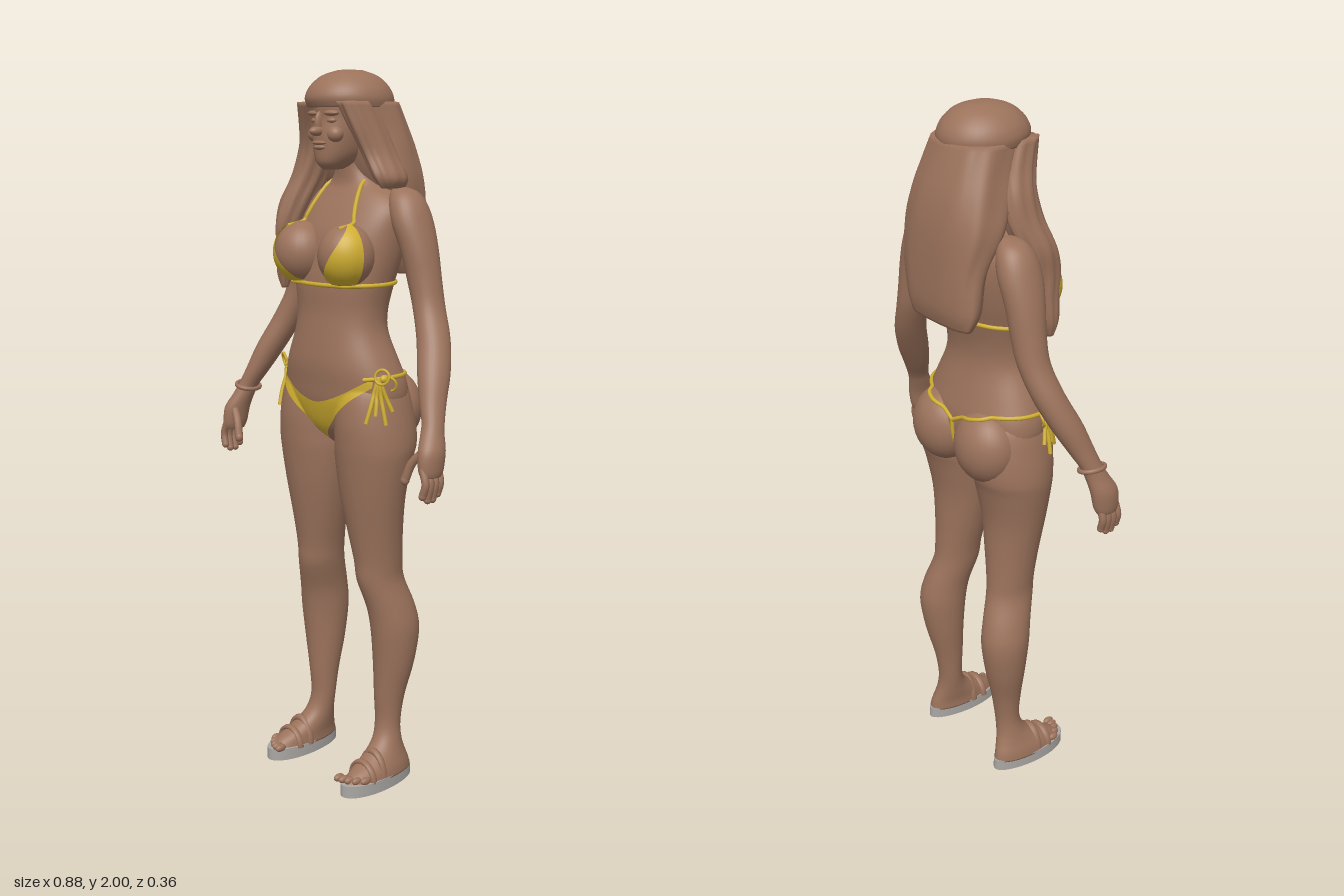
import * as THREE from 'three';

const mat = (name, color, side = THREE.FrontSide) => {
  const m = new THREE.MeshStandardMaterial({ color, side });
  m.name = name;
  return m;
};

// Smooth closed body through horizontal sections [y, centreX, halfWidth, zFront, zBack], bottom to top
function loft(rows, { side = 1, power = 2, ripple = 0, seg = 32, sub = 4 } = {}) {
  const pos = [], idx = [], last = rows.length - 1, steps = last * sub;
  const spline = (k, t) => {
    const i = Math.min(Math.floor(t), last - 1), f = t - i;
    const p = [i - 1, i, i + 1, i + 2].map(n => rows[Math.max(0, Math.min(last, n))][k]);
    return p[1] + 0.5 * f * (p[2] - p[0] + f * (2 * p[0] - 5 * p[1] + 4 * p[2] - p[3] + f * (3 * (p[1] - p[2]) + p[3] - p[0])));
  };
  const rnd = v => Math.sign(v) * Math.abs(v) ** (2 / power);
  for (let i = 0; i <= steps; i++) {
    const [y, cx, rx, zf, zb] = [0, 1, 2, 3, 4].map(k => spline(k, i / sub));
    for (let j = 0; j < seg; j++) {
      const a = j / seg * Math.PI * 2, w = 1 + ripple * Math.cos(9 * a + y * 14);
      pos.push(side * cx + rx * w * rnd(Math.cos(a)), y, (zf + zb) / 2 + (zf - zb) / 2 * w * rnd(Math.sin(a)));
    }
  }
  for (let i = 0; i < steps; i++) for (let j = 0; j < seg; j++) {
    const a = i * seg + j, c = i * seg + (j + 1) % seg;
    idx.push(a, a + seg, c, c, a + seg, c + seg);
  }
  // end caps
  for (const [r, base, top] of [[rows[0], 0, false], [rows[last], steps * seg, true]]) {
    const n = pos.length / 3;
    pos.push(side * r[1], r[0] + (top ? 0.002 : 0), (r[3] + r[4]) / 2);
    for (let j = 0; j < seg; j++) {
      const a = base + j, c = base + (j + 1) % seg;
      top ? idx.push(a, n, c) : idx.push(a, c, n);
    }
  }
  return surface(pos, idx);
}

function surface(pos, idx) {
  const g = new THREE.BufferGeometry();
  g.setAttribute('position', new THREE.Float32BufferAttribute(pos, 3));
  g.setIndex(idx);
  g.computeVertexNormals();
  return g;
}

// Open sheet from a rule (u, v) -> [x, y, z]
function sheet(nu, nv, fn) {
  const pos = [], idx = [];
  for (let i = 0; i <= nu; i++) for (let j = 0; j <= nv; j++) pos.push(...fn(i / nu, j / nv));
  for (let i = 0; i < nu; i++) for (let j = 0; j < nv; j++) {
    const a = i * (nv + 1) + j, b = a + nv + 1;
    idx.push(a, b, a + 1, a + 1, b, b + 1);
  }
  return surface(pos, idx);
}

const ball = (x, y, z, rx, ry, rz) => new THREE.SphereGeometry(1, 28, 20).scale(rx, ry, rz).translate(x, y, z);
const tube = (pts, r, n = 40) => new THREE.TubeGeometry(
  new THREE.CatmullRomCurve3(pts.map(p => p.isVector3 ? p : new THREE.Vector3(...p))), n, r, 8, false);

export function createModel() {
  const group = new THREE.Group();
  const skin = mat('brown', 0x9c735c);
  const yellow = mat('yellow', 0xcfad30, THREE.DoubleSide);
  const grey = mat('soleGrey', 0xaaa7a4);
  const add = (name, geo, m = skin) => {
    const mesh = new THREE.Mesh(geo, m);
    mesh.name = name;
    group.add(mesh);
    return mesh;
  };
  const body = [];

  // Torso and neck
  body.push(add('torso', loft([
    [0.985, 0, 0.03, 0.06, -0.05], [1.03, 0, 0.11, 0.105, -0.08], [1.1, 0, 0.195, 0.13, -0.1],
    [1.16, 0, 0.206, 0.138, -0.1], [1.22, 0, 0.185, 0.143, -0.085], [1.3, 0, 0.15, 0.136, -0.065],
    [1.36, 0, 0.145, 0.13, -0.065], [1.43, 0, 0.158, 0.13, -0.08], [1.5, 0, 0.172, 0.12, -0.098],
    [1.57, 0, 0.18, 0.105, -0.11], [1.63, 0, 0.18, 0.075, -0.108], [1.67, 0, 0.15, 0.05, -0.098],
    [1.7, 0, 0.09, 0.035, -0.082], [1.74, 0, 0.056, 0.035, -0.07], [1.8, 0, 0.052, 0.04, -0.065],
  ], { power: 2.2, seg: 48 })));

  // Head, nose, lips, brows and cheeks
  add('head', loft([
    [1.738, 0, 0.022, 0.095, 0.04], [1.755, 0, 0.04, 0.112, 0], [1.785, 0, 0.058, 0.117, -0.05],
    [1.83, 0, 0.069, 0.118, -0.08], [1.87, 0, 0.074, 0.112, -0.09], [1.92, 0, 0.074, 0.112, -0.09], [1.96, 0, 0.05, 0.08, -0.06],
  ], { power: 2.3 }));
  add('nose', ball(0, 1.838, 0.122, 0.014, 0.013, 0.025));
  add('noseBridge', ball(0, 1.86, 0.113, 0.009, 0.03, 0.016));
  add('upperLip', ball(0, 1.808, 0.115, 0.026, 0.006, 0.011));
  add('lowerLip', ball(0, 1.796, 0.114, 0.022, 0.007, 0.011));
  for (const s of [1, -1]) {
    add('brow', ball(s * 0.032, 1.885, 0.1, 0.026, 0.008, 0.016));
    add('eyelid', ball(s * 0.031, 1.866, 0.098, 0.016, 0.008, 0.012));
    add('cheek', ball(s * 0.038, 1.83, 0.092, 0.024, 0.022, 0.022));
  }

  // Hair
  add('hairCrown', loft([
    [1.9, 0, 0.112, 0.122, -0.118], [1.925, 0, 0.115, 0.131, -0.12], [1.955, 0, 0.102, 0.118, -0.106],
    [1.983, 0, 0.072, 0.085, -0.075], [1.998, 0, 0.03, 0.04, -0.035],
  ], { seg: 40 }));
  add('backHair', loft([
    [1.45, -0.01, 0.12, -0.115, -0.168], [1.5, -0.01, 0.138, -0.09, -0.18], [1.6, 0, 0.148, -0.065, -0.18],
    [1.7, 0, 0.158, 0, -0.175], [1.78, 0, 0.145, 0.03, -0.162], [1.85, 0, 0.128, 0.045, -0.14], [1.915, 0, 0.113, 0.07, -0.117],
  ], { power: 2.6, ripple: 0.015, seg: 72 }));
  add('leftLock', loft([
    [1.69, 0.155, 0.015, 0.03, -0.05], [1.72, 0.15, 0.032, 0.05, -0.06], [1.78, 0.118, 0.034, 0.06, -0.05],
    [1.85, 0.098, 0.032, 0.09, -0.03], [1.915, 0.078, 0.034, 0.115, 0],
  ], { ripple: 0.06 }));
  add('rightLock', loft([
    [1.405, -0.19, 0.006, 0.09, 0.07], [1.45, -0.188, 0.018, 0.105, 0.05], [1.52, -0.172, 0.03, 0.115, 0.03],
    [1.58, -0.165, 0.034, 0.125, 0.02], [1.65, -0.155, 0.044, 0.11, 0], [1.72, -0.135, 0.04, 0.085, -0.03],
    [1.79, -0.118, 0.038, 0.075, -0.04], [1.85, -0.1, 0.032, 0.09, -0.03], [1.915, -0.078, 0.034, 0.115, 0],
  ], { ripple: 0.07 }));

  for (const s of [1, -1]) {
    // Legs with feet
    body.push(add('leg', loft([
      [0.03, 0.163, 0.05, 0.172, -0.075], [0.055, 0.161, 0.047, 0.145, -0.07], [0.085, 0.154, 0.042, 0.085, -0.06],
      [0.12, 0.147, 0.038, 0.04, -0.052], [0.17, 0.141, 0.037, 0.022, -0.052], [0.25, 0.142, 0.044, 0.025, -0.065],
      [0.35, 0.148, 0.059, 0.03, -0.09], [0.45, 0.15, 0.067, 0.04, -0.105], [0.52, 0.143, 0.064, 0.052, -0.095],
      [0.6, 0.126, 0.061, 0.075, -0.07], [0.66, 0.122, 0.066, 0.08, -0.064], [0.75, 0.117, 0.08, 0.095, -0.062],
      [0.85, 0.115, 0.097, 0.112, -0.065], [0.95, 0.116, 0.112, 0.125, -0.085], [1, 0.117, 0.114, 0.13, -0.1],
      [1.07, 0.115, 0.106, 0.132, -0.1], [1.15, 0.11, 0.09, 0.118, -0.085], [1.2, 0.1, 0.06, 0.08, -0.05],
    ], { side: s })));
    body.push(add('buttock', ball(s * 0.094, 1.085, -0.058, 0.1, 0.108, 0.086)));
    body.push(add('breast', ball(s * 0.09, 1.513, 0.098, 0.078, 0.085, 0.08)));

    // Sandals and toes
    const sole = new THREE.CylinderGeometry(1, 1, 0.035, 40).scale(0.053, 1, 0.13);
    const p = sole.attributes.position;
    for (let i = 0; i < p.count; i++) p.setX(i, p.getX(i) * (0.95 + 0.9 * p.getZ(i)));
    sole.computeVertexNormals();
    add('sandalSole', sole.translate(s * 0.163, 0.0175, 0.051), grey);
    for (const [z, h] of [[0.1, 0.075], [0.06, 0.095]])
      add('sandalStrap', new THREE.TorusGeometry(1, 0.14, 8, 24, Math.PI).scale(0.046, h - 0.025, 0.08).translate(s * 0.16, 0.03, z));
    for (let k = 0; k < 5; k++)
      add('toe', ball(s * (0.13 + k * 0.017), 0.043, 0.165 - k * k * 0.0025, 0.01, 0.011, 0.018));

    // Arms and hands
    add('arm', loft([
      [0.965, 0.413, 0.02, 0.13, 0.065], [0.985, 0.411, 0.026, 0.136, 0.056], [1.03, 0.407, 0.03, 0.132, 0.048],
      [1.07, 0.394, 0.028, 0.11, 0.04], [1.1, 0.384, 0.028, 0.095, 0.03], [1.15, 0.362, 0.034, 0.08, 0.003],
      [1.22, 0.335, 0.042, 0.058, -0.035], [1.3, 0.3, 0.044, 0.025, -0.068], [1.38, 0.264, 0.043, 0.005, -0.085],
      [1.45, 0.244, 0.046, 0.005, -0.09], [1.53, 0.226, 0.048, 0.015, -0.095], [1.6, 0.202, 0.051, 0.025, -0.1],
      [1.65, 0.184, 0.048, 0.018, -0.092], [1.68, 0.17, 0.036, 0, -0.075], [1.692, 0.155, 0.015, -0.02, -0.055],
    ], { side: s }));
    for (let k = 0; k < 4; k++) {
      const z = 0.073 + k * 0.018, end = 0.918 - (k === 1 || k === 2 ? 0.012 : 0);
      add('finger', tube([[s * 0.41, 0.99, z], [s * 0.424, 0.95, z + 0.002], [s * 0.416, end, z + 0.004]], 0.0105, 10));
      add('fingertip', ball(s * 0.416, end, z + 0.004, 0.0105, 0.011, 0.0105));
    }
    add('thumb', tube([[s * 0.395, 1.03, 0.11], [s * 0.366, 0.995, 0.122], [s * 0.35, 0.95, 0.13]], 0.012, 12));
    add('thumbTip', ball(s * 0.35, 0.95, 0.13, 0.012, 0.014, 0.012));
  }
  add('bracelet', new THREE.TorusGeometry(1, 0.16, 10, 32).rotateX(Math.PI / 2).scale(0.032, 0.04, 0.037)
    .rotateZ(-0.25).translate(-0.386, 1.095, 0.064));

  // Points on the body surface, found from the front or from around the vertical axis
  const ray = new THREE.Raycaster();
  const hit = (from, dir, off) => {
    ray.set(from, dir);
    const h = ray.intersectObjects(body, false)[0];
    return h ? h.point.addScaledVector(dir, -off) : null;
  };
  group.updateMatrixWorld(true);
  const front = (x, y, off) => hit(new THREE.Vector3(x, y, 1), new THREE.Vector3(0, 0, -1), off) || new THREE.Vector3(x, y, 0.06);
  const around = (a, y, off = 0.002) => {
    const d = new THREE.Vector3(-Math.sin(a), 0, -Math.cos(a));
    return hit(new THREE.Vector3(0, y, 0).addScaledVector(d, -1), d, off) || new THREE.Vector3(0, y, 0);
  };
  const path = (n, fn) => Array.from({ length: n + 1 }, (_, i) => fn(i / n));

  // Bikini top
  add('chestBand', tube(path(64, t => around(t * Math.PI * 2, 1.436 - 0.004 * Math.cos(t * Math.PI * 2))), 0.006, 128), yellow);
  for (const s of [1, -1]) {
    add('bikiniCup', sheet(20, 16, (u, v) => {
      const y = -0.86 + 1.83 * u, rim = Math.sqrt(1 - y * y);
      const inner = THREE.MathUtils.lerp(-rim * 0.95, rim * 0.8, u ** 0.5);
      const x = THREE.MathUtils.lerp(inner, rim * 0.99, v);
      const z = Math.sqrt(Math.max(0, 1 - x * x - y * y));
      return [s * (0.09 + 0.081 * x), 1.513 + 0.088 * y, 0.098 + 0.084 * z];
    }), yellow);
    add('neckStrap', tube([...path(8, t => front(s * (0.104 - 0.036 * t), 1.585 + 0.11 * t, 0.003)), [s * 0.05, 1.73, -0.03]], 0.006), yellow);
  }

  // Bikini bottom
  add('bikiniFront', sheet(48, 8, (u, v) => {
    const q = Math.abs(2 * u - 1), x = 0.18 * (2 * u - 1);
    const top = 1.11 + 0.078 * q ** 1.6, low = Math.min(top - 0.012, 1 + 0.165 * q ** 0.85);
    const y = THREE.MathUtils.lerp(low, top, v);
    return front(x, y, 0.005).toArray();
  }), yellow);
  add('backString', tube(path(12, t => around(Math.PI, 1.145 - 0.13 * t)), 0.006), yellow);
  for (const s of [1, -1]) {
    add('hipString', tube(path(24, t => around(s * (1 + (Math.PI - 1) * t), 1.185 + 0.012 * Math.sin(t * Math.PI) - 0.045 * t * t)), 0.006, 60), yellow);
    // tied bows with hanging ends
    for (const [a, y] of [[1.02, 1.07], [1.14, 1.09], [1.26, 1.065], [1.36, 1.1]])
      add('tieEnd', tube(path(6, t => around(s * (1.2 + (a - 1.2) * t), 1.19 + (y - 1.19) * t, 0.004)), 0.006, 16), yellow);
    for (const tilt of [0.5, -0.6])
      add('bowLoop', new THREE.TorusGeometry(0.02, 0.004, 6, 20).rotateY(0.5 * s).rotateZ(tilt)
        .translate(s * 0.202, 1.185 + tilt * 0.02, 0.06 + tilt * 0.025), yellow);
    add('bowKnot', ball(s * 0.198, 1.188, 0.06, 0.011, 0.012, 0.014), yellow);
  }
  return group;
}
